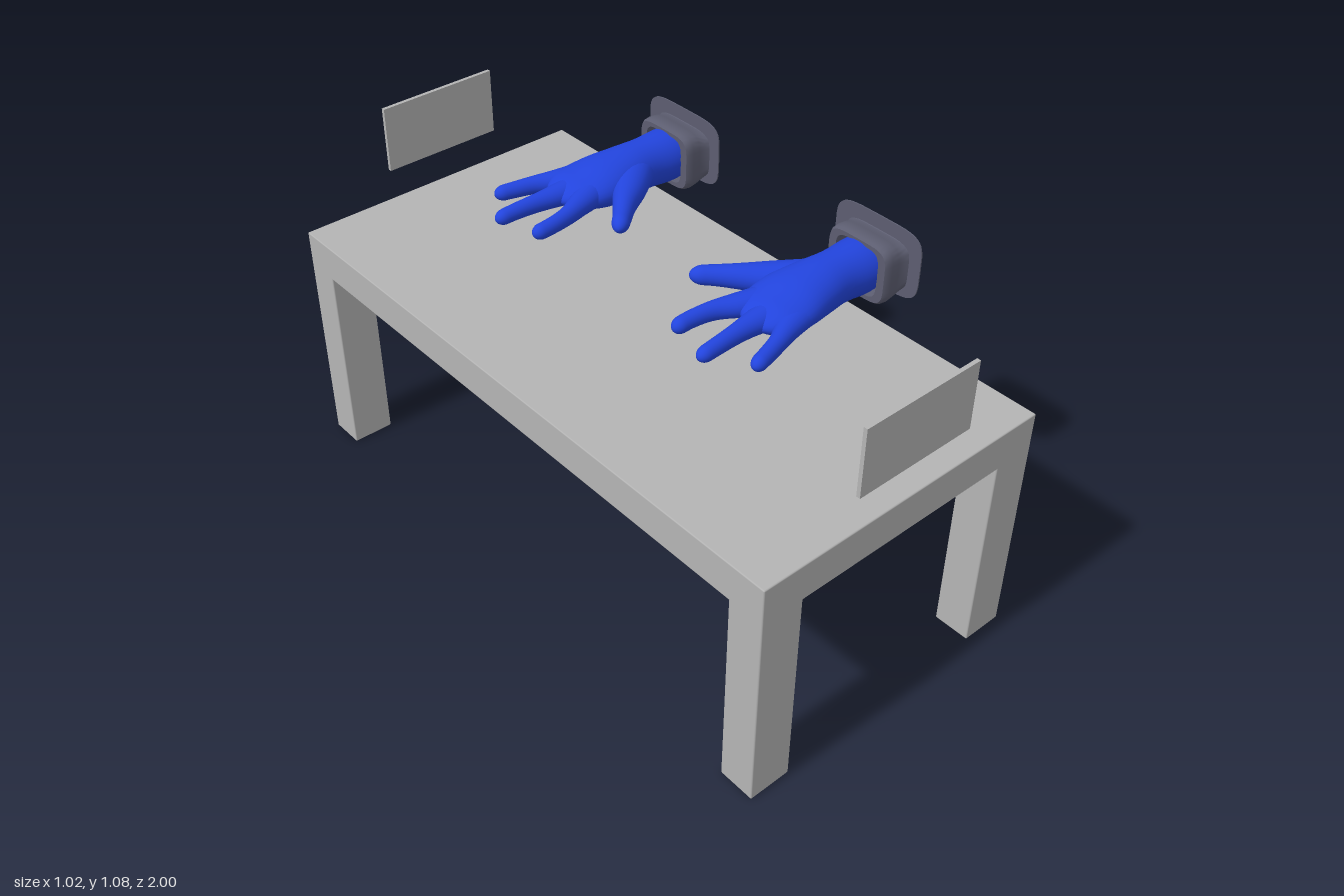
import * as THREE from 'three';
import { toCreasedNormals } from 'three/addons/utils/BufferGeometryUtils.js';
import { RoundedBoxGeometry } from 'three/addons/geometries/RoundedBoxGeometry.js';

const V = (x, y, z) => new THREE.Vector3(x, y, z);

// Skin a list of rings (arrays of Vector3 of equal length)
function skin(rings) {
  const n = rings[0].length, index = [];
  for (let i = 0; i < rings.length - 1; i++) {
    for (let j = 0; j < n; j++) {
      const a = i * n + j, b = i * n + (j + 1) % n;
      index.push(a, b, a + n, b, b + n, a + n);
    }
  }
  const g = new THREE.BufferGeometry().setFromPoints(rings.flat());
  g.setIndex(index);
  g.computeVertexNormals();
  return g;
}

// Tapered limb with a rounded tip; stations are [x, y, z, half width, half height]
function limb(stations, tip, steps = 28, sides = 24) {
  const path = new THREE.CatmullRomCurve3(stations.map(s => V(s[0], s[1], s[2])));
  const size = new THREE.CatmullRomCurve3(stations.map(s => V(s[3], s[4], s[0])), false, 'catmullrom', 0.5);
  const rings = [];
  for (let i = 0; i <= steps; i++) {
    const s = 1 - (1 - i / steps) ** 2;
    const k = Math.max(0, (s - 1 + tip) / tip);
    const round = Math.max(0.001, Math.sqrt(1 - k * k));
    const c = path.getPoint(s), r = size.getPoint(s), t = path.getTangent(s);
    const w = V(0, 1, 0).cross(t).normalize(), u = t.clone().cross(w);
    rings.push(Array.from({ length: sides }, (_, j) => {
      const a = j / sides * Math.PI * 2;
      return c.clone()
        .addScaledVector(w, Math.cos(a) * r.x * round)
        .addScaledVector(u, Math.sin(a) * r.y * round);
    }));
  }
  return skin(rings);
}

// Rounded rectangular ring around the x axis; stations are [x, half width, half height, centre y]
function portRing(stations, z, sides = 48) {
  const soft = v => Math.sign(v) * Math.abs(v) ** 0.42;
  const rings = stations.map(([x, hw, hh, y]) => Array.from({ length: sides }, (_, j) => {
    const a = j / sides * Math.PI * 2;
    return V(x, y + hh * soft(Math.sin(a)), z - hw * soft(Math.cos(a)));
  }));
  return toCreasedNormals(skin(rings), 0.75);
}

export function createModel() {
  const model = new THREE.Group();
  const grey = new THREE.MeshStandardMaterial({ color: 0xb4b4b4 });
  grey.name = 'light grey';
  const blue = new THREE.MeshStandardMaterial({ color: 0x2244dd, side: THREE.DoubleSide });
  blue.name = 'glove blue';
  const slate = new THREE.MeshStandardMaterial({ color: 0x5c5d70, side: THREE.DoubleSide });
  slate.name = 'slate';

  const add = (parent, name, geometry, material) => {
    const m = new THREE.Mesh(geometry, material);
    m.name = name;
    parent.add(m);
    return m;
  };
  const box = (name, x0, x1, y0, y1, z0, z1, r) =>
    add(model, name, new RoundedBoxGeometry(x1 - x0, y1 - y0, z1 - z0, 1, r), grey)
      .position.set((x0 + x1) / 2, (y0 + y1) / 2, (z0 + z1) / 2);

  // Table and the two end panels
  box('tableTop', -0.51, 0.475, 0.645, 0.762, -1, 1, 0.004);
  for (const s of [-1, 1]) {
    const end = s > 0 ? 'front' : 'back';
    const z0 = s > 0 ? 0.885 : -1, z1 = s > 0 ? 1 : -0.885;
    box(end + 'RightLeg', -0.51, -0.375, 0, 0.75, z0, z1, 0.004);
    box(end + 'LeftLeg', 0.34, 0.475, 0, 0.75, z0, z1, 0.004);
    add(model, end + 'Panel', new THREE.BoxGeometry(0.395, 0.212, 0.012), grey)
      .position.set(-0.0075, 0.972, s * 0.993);
  }

  // Glove with its port, mirrored front to back
  for (const s of [1, -1]) {
    const glove = new THREE.Group();
    glove.name = s > 0 ? 'frontGlove' : 'backGlove';
    glove.scale.z = s;
    model.add(glove);

    add(glove, 'sleeveAndPalm', limb([
      [0.47, 0.955, 0.4, 0.08, 0.076],
      [0.4, 0.951, 0.4, 0.08, 0.082],
      [0.32, 0.953, 0.4, 0.075, 0.077],
      [0.24, 0.954, 0.4, 0.088, 0.075],
      [0.15, 0.955, 0.402, 0.104, 0.066],
      [0.07, 0.955, 0.412, 0.1, 0.048],
      [-0.01, 0.955, 0.418, 0.075, 0.032],
    ], 0.16, 40, 32), blue);

    add(glove, 'thumb', limb([
      [0.27, 0.955, 0.375, 0.06, 0.055],
      [0.185, 0.958, 0.3, 0.05, 0.045],
      [0.115, 0.962, 0.238, 0.035, 0.036],
      [0.065, 0.963, 0.19, 0.028, 0.03],
      [0.018, 0.963, 0.148, 0.026, 0.027],
    ], 0.16), blue);

    add(glove, 'indexFinger', limb([
      [0.12, 0.955, 0.37, 0.05, 0.045],
      [0.03, 0.958, 0.335, 0.037, 0.034],
      [-0.04, 0.958, 0.308, 0.026, 0.028],
      [-0.11, 0.956, 0.297, 0.023, 0.025],
      [-0.172, 0.953, 0.297, 0.023, 0.024],
    ], 0.12), blue);

    add(glove, 'middleFinger', limb([
      [0.1, 0.955, 0.415, 0.05, 0.045],
      [0, 0.957, 0.417, 0.035, 0.033],
      [-0.07, 0.957, 0.422, 0.026, 0.028],
      [-0.14, 0.955, 0.427, 0.023, 0.025],
      [-0.205, 0.951, 0.43, 0.022, 0.023],
    ], 0.12), blue);

    add(glove, 'littleFinger', limb([
      [0.15, 0.953, 0.45, 0.055, 0.045],
      [0.06, 0.953, 0.486, 0.037, 0.034],
      [0, 0.952, 0.513, 0.026, 0.028],
      [-0.06, 0.95, 0.532, 0.023, 0.025],
      [-0.122, 0.948, 0.549, 0.022, 0.023],
    ], 0.12), blue);

    // Bulged cuff, chamfered flange and the recess inside it
    add(glove, 'portRing', portRing([
      [0.405, 0.079, 0.076, 0.951],
      [0.405, 0.104, 0.088, 0.951],
      [0.412, 0.108, 0.093, 0.951],
      [0.43, 0.11, 0.095, 0.951],
      [0.455, 0.11, 0.09, 0.952],
      [0.475, 0.112, 0.081, 0.954],
      [0.487, 0.117, 0.077, 0.958],
      [0.487, 0.157, 0.108, 0.971],
      [0.491, 0.157, 0.108, 0.971],
      [0.509, 0.136, 0.087, 0.971],
      [0.509, 0.116, 0.077, 0.968],
      [0.482, 0.11, 0.072, 0.962],
      [0.472, 0.083, 0.071, 0.957],
      [0.42, 0.081, 0.076, 0.953],
    ], 0.4), slate);
  }
  return model;
}
